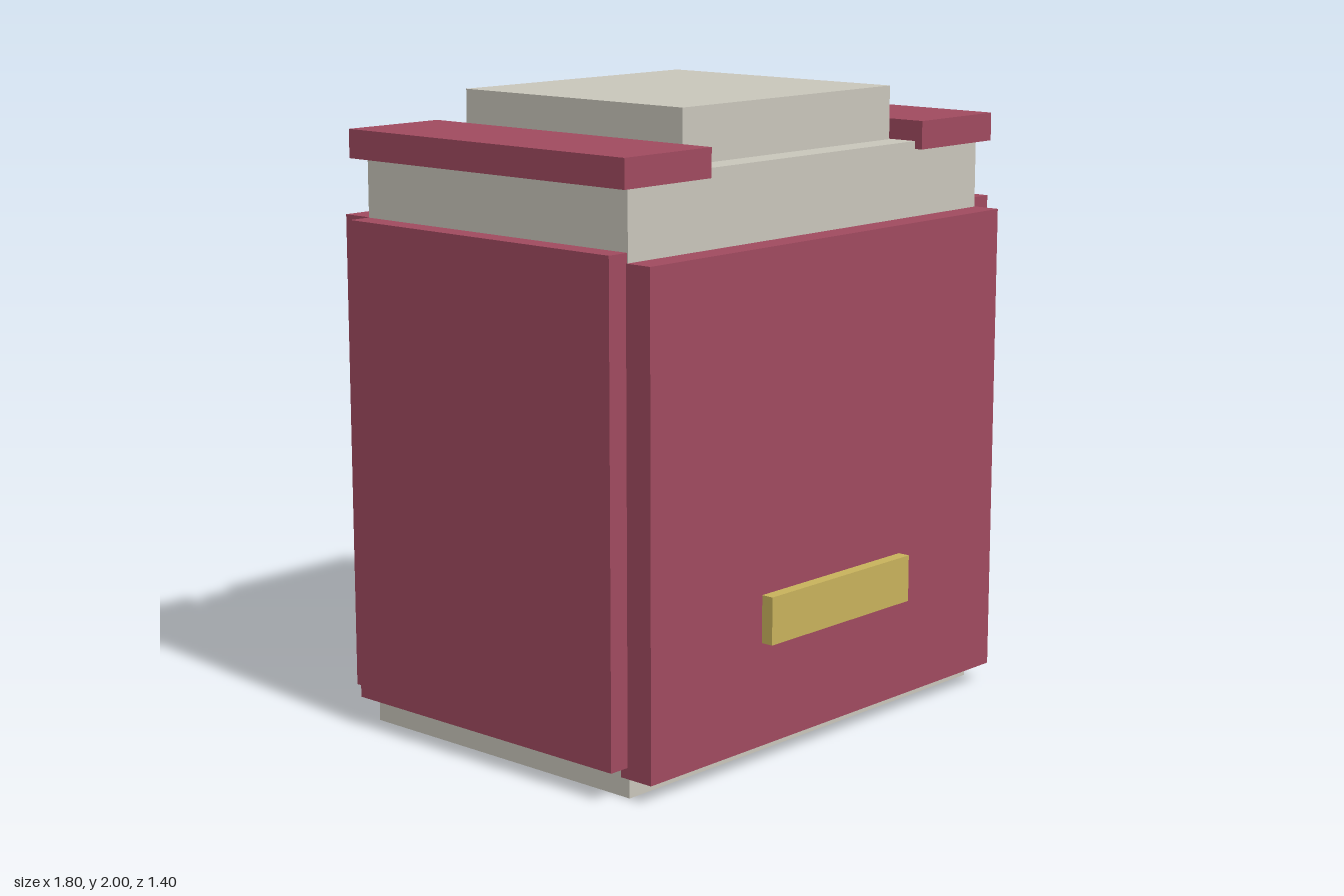
import * as THREE from 'three';

export function createModel() {
  const model = new THREE.Group();
  model.name = 'paddedBox';

  const makeMaterial = (name, color) => {
    const m = new THREE.MeshStandardMaterial({ color });
    m.name = name;
    return m;
  };
  const red = makeMaterial('crimson', 0xa04a5f);
  const cream = makeMaterial('warmGrey', 0xc9c6bb);
  const gold = makeMaterial('gold', 0xc8b25c);

  // Box given by its extents on each axis
  const block = (name, material, [x0, x1], [y0, y1], [z0, z1]) => {
    const mesh = new THREE.Mesh(new THREE.BoxGeometry(x1 - x0, y1 - y0, z1 - z0), material);
    mesh.position.set((x0 + x1) / 2, (y0 + y1) / 2, (z0 + z1) / 2);
    mesh.name = name;
    model.add(mesh);
  };

  // Main body and raised top
  block('body', cream, [-0.825, 0.825], [0, 1.83], [-0.525, 0.57]);
  block('topBlock', cream, [-0.49, 0.49], [1.82, 2], [-0.435, 0.475]);

  // Front panel with its plate
  block('frontPanel', red, [-0.83, 0.83], [0.06, 1.59], [0.54, 0.66]);
  block('frontPlate', gold, [-0.335, 0.335], [0.385, 0.535], [0.65, 0.7]);

  // Back flap and lower tab
  block('backFlap', cream, [-0.305, 0.305], [1.1, 1.775], [-0.667, -0.51]);
  block('backTab', cream, [-0.215, 0.215], [0.83, 1.17], [-0.683, -0.515]);

  // Mirrored panels, shoulder plates and studs
  for (const side of [1, -1]) {
    const label = side > 0 ? 'left' : 'right';
    const span = (inner, outer) => (side > 0 ? [inner, outer] : [-outer, -inner]);
    block(label + 'SidePanel', red, span(0.81, 0.9), [0.095, 1.62], [-0.527, 0.567]);
    block(label + 'BackPanel', red, span(0.31, 0.82), [0.095, 1.62], [-0.637, -0.515]);
    block(label + 'ShoulderPlate', red, span(0.5, 0.868), [1.805, 1.895], [-0.56, 0.598]);
    for (let i = 0; i < 4; i++) {
      const y = 0.308 + i * 0.305;
      block(label + 'Stud' + (i + 1), gold, span(0.373, 0.479), [y - 0.053, y + 0.053], [-0.698, -0.625]);
    }
  }
  return model;
}
